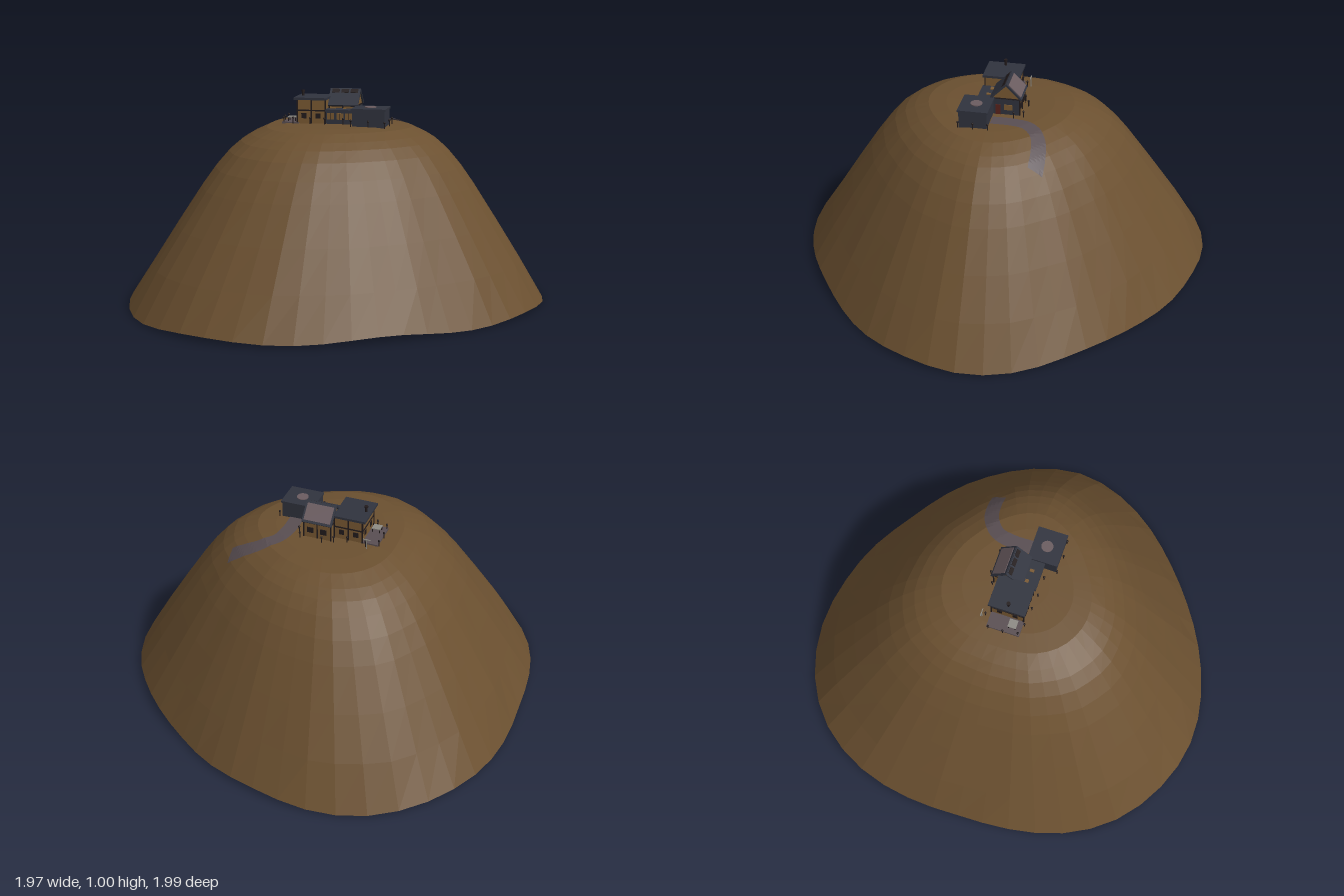
import * as THREE from 'three';

const mat = (name, color, side = THREE.FrontSide) =>
  Object.assign(new THREE.MeshStandardMaterial({ color, side }), { name });
const earth = mat('earth', 0x6b5030, THREE.DoubleSide);
const slate = mat('slate', 0x30333e);
const wall = mat('ochre wall', 0x7a5a33);
const timber = mat('dark timber', 0x221b1c);
const stone = mat('grey stone', 0x594e52, THREE.DoubleSide);
const glass = mat('dusty pane', 0x6b5c60);
const red = mat('red door', 0x5a231c);
const pale = mat('pale metal', 0x8d8b84);

// Hill outline: radius every 15 degrees, from +x towards +z
const RADII = [0.98, 0.95, 0.912, 0.88, 0.877, 0.91, 0.965, 1.02, 1.05, 1.06, 1.04, 1.005,
  0.985, 1.015, 1.062, 1.09, 1.08, 1.035, 0.97, 0.925, 0.89, 0.895, 0.92, 0.96];
const outline = new THREE.CatmullRomCurve3(RADII.map(r => new THREE.Vector3(r, 0, 0)), true, 'catmullrom');
const radiusAt = a => outline.getPoint((((a / (Math.PI * 2)) % 1) + 1) % 1).x;

// Hill profile: fraction of the outline radius and height
const PROFILE = [[1, 0.018], [0.885, 0.2], [0.77, 0.38], [0.655, 0.555], [0.59, 0.645], [0.525, 0.72],
  [0.47, 0.767], [0.42, 0.797], [0.35, 0.829], [0.26, 0.839], [0.14, 0.841], [0, 0.841]];

function heightAt(x, z) {
  const s = Math.hypot(x, z) / radiusAt(Math.atan2(z, x));
  for (let i = 1; i < PROFILE.length; i++) {
    const [s0, y0] = PROFILE[i - 1], [s1, y1] = PROFILE[i];
    if (s >= s1) return y0 + (y1 - y0) * (s0 - s) / (s0 - s1);
  }
  return 0.841;
}

function surface(positions, index) {
  const g = new THREE.BufferGeometry();
  g.setAttribute('position', new THREE.Float32BufferAttribute(positions, 3));
  g.setIndex(index);
  const flat = g.toNonIndexed();
  flat.computeVertexNormals();
  return flat;
}

function hillGeometry() {
  const n = 48, pos = [], idx = [];
  PROFILE.forEach(([s, y], j) => {
    for (let i = 0; i <= n; i++) {
      const a = i / n * Math.PI * 2;
      // faint gullies on the slope and a wavy lower rim
      const gully = j > 0 && j < 8 ? 1 + 0.009 * Math.sin(a * 11 + j * 0.3) * Math.sin(a * 5 + 1) : 1;
      const wave = j === 0 ? 0.009 * Math.sin(a * 7) + 0.006 * Math.sin(a * 3 + 4) - 0.003 : 0;
      const r = radiusAt(a) * s * gully;
      pos.push(r * Math.cos(a), y + wave, r * Math.sin(a));
    }
  });
  for (let j = 0; j < PROFILE.length - 1; j++) {
    for (let i = 0; i < n; i++) {
      const a = j * (n + 1) + i, b = a + n + 1;
      idx.push(a, b, a + 1, a + 1, b, b + 1);
    }
  }
  return surface(pos, idx);
}

// Strip laid over the hill along a curve
function pathGeometry() {
  const curve = new THREE.CatmullRomCurve3([[0.16, 0], [0.16, -0.1], [0.18, -0.18], [0.25, -0.235], [0.33, -0.25], [0.4, -0.25]]
    .map(([x, z]) => new THREE.Vector3(x, 0, z)));
  const n = 28, across = 4, pos = [], idx = [];
  for (let i = 0; i <= n; i++) {
    const p = curve.getPoint(i / n), t = curve.getTangent(i / n);
    for (let k = 0; k <= across; k++) {
      const o = (k / across - 0.5) * 0.068;
      const x = p.x - t.z * o, z = p.z + t.x * o;
      pos.push(x, heightAt(x, z) + 0.007, z);
    }
  }
  for (let i = 0; i < n; i++) for (let k = 0; k < across; k++) {
    const a = i * (across + 1) + k, b = a + across + 1;
    idx.push(a, a + 1, b, b, a + 1, b + 1);
  }
  return surface(pos, idx);
}

function add(parent, name, geometry, material, x = 0, y = 0, z = 0) {
  const m = new THREE.Mesh(geometry, material);
  m.name = name;
  m.position.set(x, y, z);
  parent.add(m);
  return m;
}

// Box given by its limits on each axis
const block = (parent, name, material, [x0, x1], [y0, y1], [z0, z1]) =>
  add(parent, name, new THREE.BoxGeometry(x1 - x0, y1 - y0, z1 - z0), material,
    (x0 + x1) / 2, (y0 + y1) / 2, (z0 + z1) / 2);

function group(parent, name) {
  const g = new THREE.Group();
  g.name = name;
  parent.add(g);
  return g;
}

// Timber posts at the corners and mid walls, with a rail round the house
function frame(parent, [x0, x1], [y0, y1], [z0, z1], railY) {
  for (const x of [x0, (x0 + x1) / 2, x1]) for (const z of [z0, z1])
    block(parent, 'timberPost', timber, [x - 0.003, x + 0.003], [y0, y1], [z - 0.003, z + 0.003]);
  for (const z of [z0, z1])
    block(parent, 'timberRail', timber, [x0, x1], [railY, railY + 0.006], [z - 0.003, z + 0.003]);
  for (const x of [x0, x1])
    block(parent, 'timberRail', timber, [x - 0.003, x + 0.003], [railY, railY + 0.006], [z0, z1]);
}

export function createModel() {
  const model = new THREE.Group();
  model.name = 'hilltopHouse';
  add(model, 'hill', hillGeometry(), earth);
  add(model, 'path', pathGeometry(), stone);

  // Tall flat-roofed house on the right
  const tall = group(model, 'tallHouse');
  block(tall, 'walls', wall, [-0.197, -0.06], [0.83, 0.955], [-0.08, 0.075]);
  block(tall, 'flatRoof', slate, [-0.213, -0.055], [0.953, 0.964], [-0.09, 0.086]);
  frame(tall, [-0.197, -0.06], [0.83, 0.955], [-0.08, 0.075], 0.9);
  for (const x of [-0.165, -0.095]) for (const z of [-0.081, 0.076])
    block(tall, 'window', timber, [x - 0.012, x + 0.012], [0.865, 0.89], [z - 0.002, z + 0.002]);
  for (const z of [-0.04, 0.035])
    block(tall, 'sideWindow', timber, [-0.199, -0.196], [0.865, 0.89], [z - 0.012, z + 0.012]);
  add(tall, 'chimneyPipe', new THREE.CylinderGeometry(0.006, 0.006, 0.05, 10), timber, -0.186, 0.965, 0);
  add(tall, 'chimneyCap', new THREE.CylinderGeometry(0.009, 0.009, 0.008, 10), timber, -0.186, 0.989, 0);

  // Gabled middle house, ridge running left to right
  const mid = group(model, 'gabledHouse');
  block(mid, 'walls', wall, [-0.055, 0.078], [0.83, 0.928], [-0.118, 0.012]);
  const gable = new THREE.Shape([[-0.01, 0.925], [0.118, 0.925], [0.054, 0.988]].map(p => new THREE.Vector2(...p)));
  const gableGeo = new THREE.ExtrudeGeometry(gable, { depth: 0.133, bevelEnabled: false }).rotateY(Math.PI / 2);
  add(mid, 'gable', gableGeo, wall, -0.055);
  for (const s of [-1, 1]) {
    const slope = group(mid, 'roofSlope');
    slope.position.set(0.012, 0.959, -0.054 + s * 0.036);
    slope.rotation.x = s * Math.PI / 4;
    add(slope, 'roofPlane', new THREE.BoxGeometry(0.148, 0.008, 0.104), slate);
    if (s < 0) add(slope, 'roofPane', new THREE.BoxGeometry(0.13, 0.004, 0.082), glass, 0, 0.005, 0);
    else for (const x of [-0.045, 0, 0.045])
      add(slope, 'skylight', new THREE.BoxGeometry(0.036, 0.004, 0.022), timber, x, 0.004, -0.035);
  }
  frame(mid, [-0.055, 0.078], [0.83, 0.925], [-0.118, 0.012], 0.918);
  block(mid, 'sidePlanks', slate, [0.077, 0.081], [0.83, 0.922], [-0.115, 0.01]);
  block(mid, 'sideWindow', wall, [0.08, 0.084], [0.865, 0.892], [-0.085, -0.045]);
  block(mid, 'door', red, [0.08, 0.085], [0.841, 0.89], [-0.028, -0.004]);
  for (const x of [-0.02, 0.045])
    block(mid, 'backWindow', timber, [x - 0.015, x + 0.015], [0.868, 0.895], [-0.122, -0.117]);

  // Low porch in front of the middle house
  const porch = group(model, 'porch');
  block(porch, 'porchWall', slate, [-0.058, 0.078], [0.83, 0.9], [0.012, 0.072]);
  block(porch, 'porchRoof', slate, [-0.06, 0.085], [0.9, 0.91], [0.01, 0.086]);
  for (const x of [-0.035, 0.01, 0.052]) {
    block(porch, 'porchPane', wall, [x - 0.017, x + 0.017], [0.862, 0.893], [0.072, 0.075]);
    block(porch, 'glazingBar', timber, [x - 0.001, x + 0.001], [0.862, 0.893], [0.074, 0.077]);
  }
  block(porch, 'roofHatch', wall, [-0.045, -0.02], [0.908, 0.914], [0.025, 0.042]);
  block(porch, 'roofHatch', wall, [0.02, 0.034], [0.908, 0.914], [0.03, 0.05]);

  // Slate block on the left with a round roof light
  const annex = group(model, 'annex');
  block(annex, 'annexBody', slate, [0.082, 0.236], [0.82, 0.915], [0.006, 0.138]);
  block(annex, 'annexRoof', slate, [0.077, 0.241], [0.915, 0.924], [0.001, 0.144]);
  add(annex, 'roofLight', new THREE.CylinderGeometry(0.028, 0.028, 0.008, 20), glass, 0.157, 0.924, 0.07);

  // Stone terrace with a small pale stand and table
  const terrace = group(model, 'terrace');
  block(terrace, 'paving', stone, [-0.272, -0.19], [0.825, 0.846], [-0.08, 0.078]);
  for (const x of [-0.247, -0.212]) for (const z of [0.02, 0.05])
    block(terrace, 'tableLeg', timber, [x - 0.002, x + 0.002], [0.845, 0.864], [z - 0.002, z + 0.002]);
  block(terrace, 'tableTop', pale, [-0.25, -0.209], [0.864, 0.868], [0.015, 0.055]);
  block(terrace, 'standPost', pale, [-0.232, -0.228], [0.835, 0.89], [-0.117, -0.113]);
  block(terrace, 'standArm', pale, [-0.248, -0.212], [0.886, 0.89], [-0.117, -0.113]);

  // Short marker posts around the buildings
  const posts = group(model, 'groundPosts');
  [[-0.22, -0.1], [-0.13, -0.1], [-0.07, -0.12], [-0.02, -0.143], [0.09, -0.138], [0.11, -0.095], [0.247, 0],
    [0.247, 0.07], [0.237, 0.142], [0.16, 0.15], [0.077, 0.145], [0.03, 0.098], [-0.06, 0.098], [-0.13, 0.092],
    [-0.215, 0.085], [-0.275, -0.07], [-0.275, 0], [-0.265, 0.07]].forEach(([x, z]) => {
    const y = heightAt(x, z);
    add(posts, 'postShaft', new THREE.CylinderGeometry(0.0025, 0.0025, 0.03, 6), timber, x, y + 0.012, z);
    add(posts, 'postKnob', new THREE.SphereGeometry(0.0055, 8, 6), timber, x, y + 0.028, z);
  });
  return model;
}
